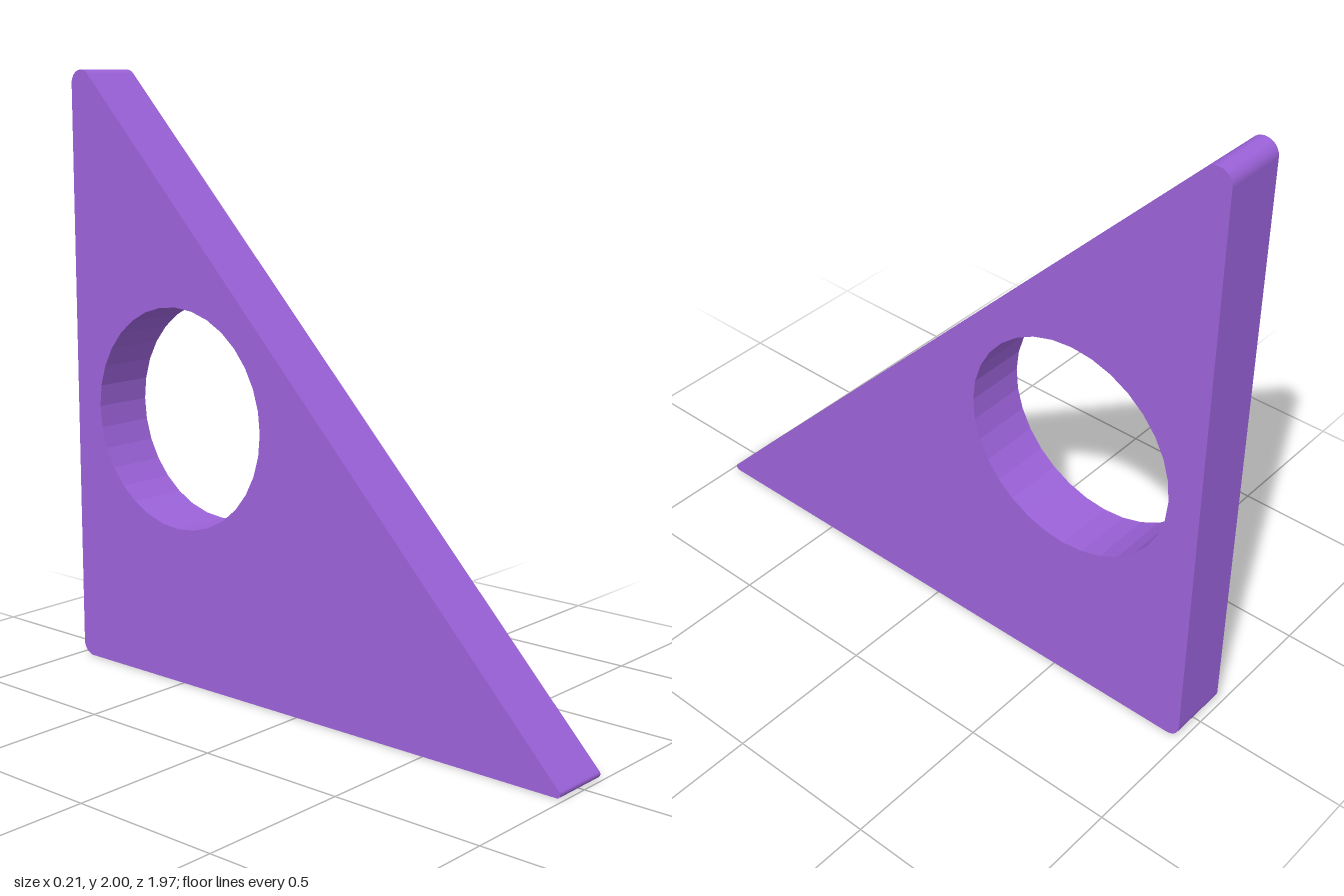
import * as THREE from 'three';

const THICKNESS = 0.206;

export function createModel() {
  const group = new THREE.Group();
  group.name = 'triangularBracket';

  // Side profile: shape x becomes model z, shape y stays up.
  // Each corner is an arc; straight edges join them tangentially.
  const slope = Math.atan2(0.694, 0.72); // direction the sloping edge faces
  const corners = [
    { z: 0.975, y: 0.012, r: 0.012, from: -Math.PI / 2, to: slope }, // front tip
    { z: -0.942, y: 1.955, r: 0.045, from: slope, to: Math.PI }, // top
    { z: -0.942, y: 0.045, r: 0.045, from: Math.PI, to: Math.PI * 1.5 }, // back foot
  ];
  const profile = new THREE.Shape();
  for (const c of corners) profile.absarc(c.z, c.y, c.r, c.from, c.to, false);
  profile.closePath();

  // Round through-hole
  const hole = new THREE.Path();
  hole.absarc(-0.515, 0.887, 0.365, 0, Math.PI * 2, true);
  profile.holes.push(hole);

  // Plate, centred on x
  const geometry = new THREE.ExtrudeGeometry(profile, {
    depth: THICKNESS,
    bevelEnabled: false,
    curveSegments: 16,
  });
  geometry.translate(0, 0, -THICKNESS / 2);
  geometry.rotateY(-Math.PI / 2);

  const plate = new THREE.Mesh(geometry, new THREE.MeshStandardMaterial({ color: 0x9b62d9 }));
  plate.name = 'plate';
  group.add(plate);
  return group;
}
